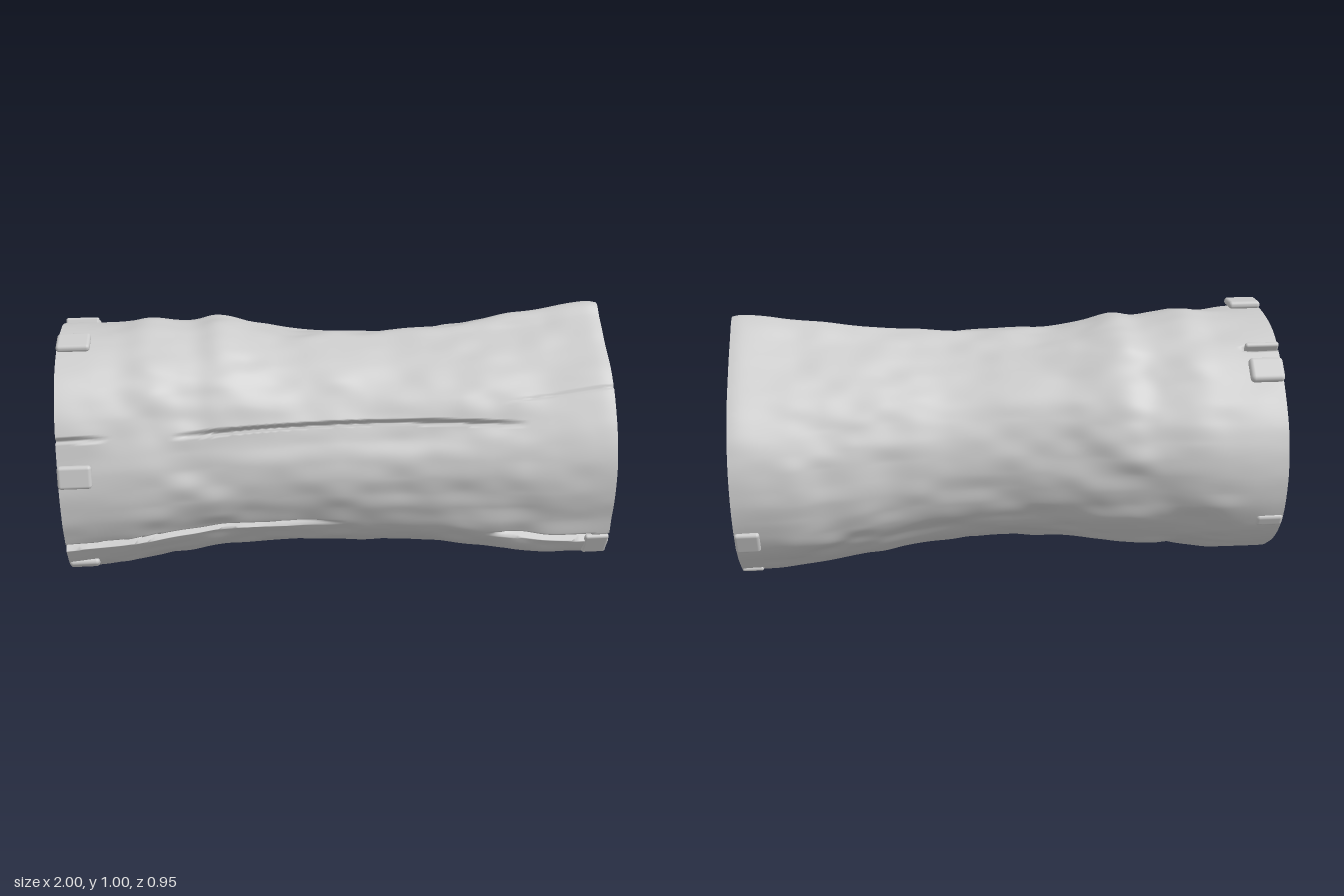
import * as THREE from 'three';
import { RoundedBoxGeometry } from 'three/addons/geometries/RoundedBoxGeometry.js';

const material = new THREE.MeshStandardMaterial({ color: 0xcccccc, roughness: 0.9, side: THREE.DoubleSide });
const COLS = 480, ROWS = 130, CY = 0.47;
const { lerp, smoothstep } = THREE.MathUtils;

// Outline of the +x end as [z, y], running over the back, top and front
const END = [
  [0.472, 0.4], [0.472, 0.52], [0.45, 0.61], [0.4, 0.7], [0.31, 0.81], [0.15, 0.91], [0.06, 0.965], [0.015, 1],
  [-0.03, 0.99], [-0.1, 0.945], [-0.2, 0.885], [-0.33, 0.79], [-0.4, 0.71], [-0.445, 0.63], [-0.466, 0.55],
  [-0.47, 0.45], [-0.455, 0.35], [-0.43, 0.27], [-0.37, 0.18], [-0.3, 0.1], [-0.2, 0.05], [-0.1, 0.01],
  [0, 0], [0.1, 0.01], [0.2, 0.04], [0.3, 0.09], [0.4, 0.15], [0.445, 0.23], [0.457, 0.32],
];
const endRing = new THREE.CatmullRomCurve3(END.map(([z, y]) => new THREE.Vector3(0, y, z)), true).getSpacedPoints(COLS);

// Silhouettes along the trunk, as [x, value]
const curve = (pts) => {
  const c = new THREE.SplineCurve(pts.map(([x, v]) => new THREE.Vector2(x, v))).getPoints(300);
  return (x) => {
    const k = Math.max(1, c.findIndex((p) => p.x >= x - 1e-6));
    return lerp(c[k - 1].y, c[k].y, (x - c[k - 1].x) / (c[k].x - c[k - 1].x));
  };
};
const top = curve([[-1, 0.94], [-0.8, 0.94], [-0.68, 0.952], [-0.52, 0.932], [-0.4, 0.948], [-0.2, 0.906], [0, 0.902],
  [0.15, 0.897], [0.4, 0.918], [0.6, 0.945], [0.8, 0.972], [0.95, 0.998], [1, 0.994]]);
const bottom = curve([[-1, 0.008], [-0.8, 0.015], [-0.6, 0.05], [-0.4, 0.065], [-0.2, 0.083], [0, 0.088],
  [0.2, 0.075], [0.4, 0.06], [0.6, 0.03], [0.8, 0.006], [1, 0]]);
const back = curve([[-1, -0.47], [-0.85, -0.473], [-0.6, -0.45], [-0.4, -0.43], [-0.2, -0.39], [0, -0.37],
  [0.2, -0.37], [0.4, -0.39], [0.6, -0.42], [0.8, -0.455], [1, -0.47]]);
const front = curve([[-1, 0.46], [-0.6, 0.43], [-0.3, 0.41], [0, 0.415], [0.3, 0.425], [0.6, 0.45], [0.8, 0.467], [1, 0.47]]);

// Smooth seeded value noise for the bark lumps
const hash = (x, y, z) => {
  const s = Math.sin(x * 127.1 + y * 311.7 + z * 74.7) * 43758.5453;
  return s - Math.floor(s);
};
function noise(x, y, z) {
  const [i, j, k] = [x, y, z].map(Math.floor);
  const [u, v, w] = [x - i, y - j, z - k].map((t) => t * t * (3 - 2 * t));
  const row = (b, c) => lerp(hash(i, b, c), hash(i + 1, b, c), u);
  return lerp(lerp(row(j, k), row(j + 1, k), v), lerp(row(j, k + 1), row(j + 1, k + 1), v), w) * 2 - 1;
}

// Drying cracks: x range, angle at both ends, mid-length angle shift, half width, depth at both ends, lip height
const CRACKS = [
  { x: [-0.6, 0.68], a: [0.5, 0.5], bend: 0.07, w: 0.024, d: [0.08, 0.08], lip: 0.004 },
  { x: [-1.3, 0.02], a: [-0.475, -0.41], bend: 0, w: 0.022, d: [0.22, 0.03], lip: 0.009 },
  { x: [0.55, 1.1], a: [-0.48, -0.49], bend: 0, w: 0.02, d: [0.01, 0.68], lip: 0.006 },
  { x: [-1.2, -0.82], a: [0.5, 0.5], bend: 0, w: 0.018, d: [0.09, 0.02], lip: 0.003 },
  { x: [-1.15, -0.86], a: [2.0, 2.0], bend: 0, w: 0.024, d: [0.65, 0.05], lip: 0 },
  { x: [0.6, 1.2], a: [0.7, 0.82], bend: 0, w: 0.016, d: [0.01, 0.01], lip: 0.003 },
];
function crackScale(x, a) {
  let s = 1;
  for (const c of CRACKS) {
    const t = (x - c.x[0]) / (c.x[1] - c.x[0]);
    if (t <= 0 || t >= 1) continue;
    const fade = Math.min(1, 6 * t, 6 * (1 - t));
    const off = a - lerp(c.a[0], c.a[1], t) - c.bend * Math.sin(Math.PI * t);
    const g = Math.min(1, 1.8 * Math.max(0, 1 - Math.abs(off) / c.w));
    s -= lerp(c.d[0], c.d[1], t) * fade * g;
    // raised bark below the crack
    if (off < -c.w) s += c.lip * 2 * fade * Math.exp((off + c.w) / 0.05);
  }
  return s;
}

// Broad swellings and hollows: angle, angular width, amount, strength along x
const SWELLS = [
  [0.92, 0.42, 0.085, (x) => smoothstep(-x, 0.3, 1)],
  [2.3, 0.38, -0.04, (x) => smoothstep(-x, 0, 0.45)],
  [-0.75, 0.28, 0.03, (x) => smoothstep(-x, 0.4, 1)],
  [-2.2, 0.35, -0.045, (x) => smoothstep(-x, 0.4, 1)],
  [0.65, 0.35, -0.055, (x) => Math.exp(-((x / 0.4) ** 2))],
];
const swell = (x, a) => SWELLS.reduce((s, [a0, w, k, along]) => s + k * along(x) * Math.exp(-(((a - a0) / w) ** 2)), 1);

// One point of the bark: rounded section at -x turning into the pointed one at +x
function barkPoint(x, j) {
  const e = endRing[j];
  const a = Math.atan2(e.y - CY, e.z);
  const w = smoothstep(x, -0.4, 0.95);
  const r = swell(x, a);
  const y0 = bottom(x), y1 = top(x), z0 = back(x), z1 = front(x);
  const v = r * lerp(Math.sin(a), (e.y - 0.5) / 0.5, w);
  const u = r * lerp(Math.cos(a), e.z / 0.471, w);
  const y = (y0 + y1) / 2 + v * (y1 - y0) / 2;
  const z = (z0 + z1) / 2 + u * (z1 - z0) / 2;
  const calm = 1 - 0.75 * smoothstep(Math.abs(x), 0.65, 1);
  const lump = calm * (0.011 * noise(x * 4 + 7, y * 7, z * 7) + 0.007 * noise(x * 9, y * 16 + 5, z * 16));
  const s = crackScale(x, Math.atan2(y - CY, z)) + lump / 0.45;
  return [x, Math.max(0, CY + (y - CY) * s), z * s];
}

function buildGeometry(positions, index) {
  const g = new THREE.BufferGeometry();
  g.setAttribute('position', new THREE.Float32BufferAttribute(positions, 3));
  g.setIndex(index);
  g.computeVertexNormals();
  return g;
}

function barkGeometry() {
  const pos = [], index = [];
  for (let i = 0; i <= ROWS; i++) {
    for (let j = 0; j < COLS; j++) pos.push(...barkPoint(-1 + (2 * i) / ROWS, j));
  }
  for (let i = 0; i < ROWS; i++) {
    for (let j = 0; j < COLS; j++) {
      const k = (j + 1) % COLS;
      const a = i * COLS + j, b = a + COLS, c = (i + 1) * COLS + k, d = i * COLS + k;
      index.push(a, b, c, a, c, d);
    }
  }
  return buildGeometry(pos, index);
}

// Flat sawn end
function cutGeometry(x) {
  const pos = [x, CY, 0], index = [];
  for (let j = 0; j < COLS; j++) {
    pos.push(...barkPoint(x, j));
    const a = j + 1, b = ((j + 1) % COLS) + 1;
    index.push(0, ...(x > 0 ? [b, a] : [a, b]));
  }
  return buildGeometry(pos, index);
}

export function createModel() {
  const log = new THREE.Group();
  log.name = 'log';
  const add = (name, geometry) => {
    const m = new THREE.Mesh(geometry, material);
    m.name = name;
    log.add(m);
    return m;
  };
  add('bark', barkGeometry());
  add('rightCutFace', cutGeometry(-1));
  add('leftCutFace', cutGeometry(1));

  // Loose bark chips at the ends: side, y, z, length, width, thickness, lean from the z axis
  const chips = [
    [-1, 0.952, 0.14, 0.12, 0.1, 0.028, 0.12],
    [-1, 0.842, -0.288, 0.125, 0.095, 0.035, -0.68],
    [-1, 0.89, -0.19, 0.125, 0.02, 0.05, -0.5],
    [-1, 0.575, 0.46, 0.12, 0.085, 0.028, 1.4],
    [-1, 0.16, 0.35, 0.11, 0.045, 0.03, -0.85],
    [-1, 0.31, -0.435, 0.1, 0.05, 0.03, 1.2],
    [1, 0.197, 0.428, 0.09, 0.1, 0.02, -1.15],
    [1, 0.29, -0.436, 0.09, 0.09, 0.025, 1.25],
    [1, 0.1, -0.285, 0.08, 0.05, 0.02, 0.35],
  ];
  for (const [side, y, z, len, width, thick, lean] of chips) {
    const chip = add('barkChip', new RoundedBoxGeometry(len, thick, width, 3, Math.min(thick, width) * 0.45));
    chip.position.set(side * (1 - len / 2), y, z);
    chip.rotation.x = lean;
  }
  return log;
}
